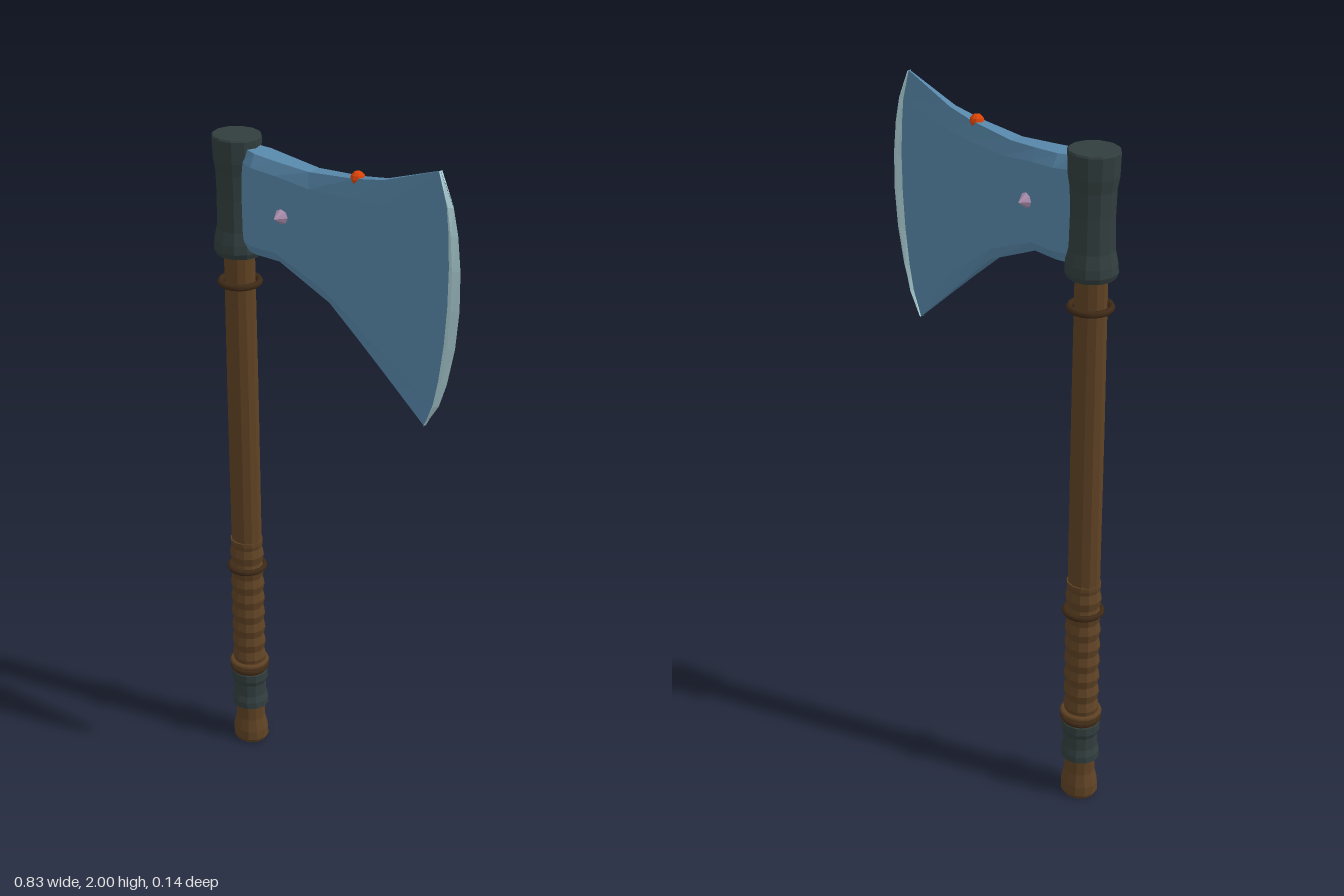
import * as THREE from 'three';

const makeMaterial = (name, color) => {
  const m = new THREE.MeshStandardMaterial({ color });
  m.name = name;
  return m;
};

// Give every triangle its own normal
function facet(geometry) {
  const g = geometry.index ? geometry.toNonIndexed() : geometry;
  g.computeVertexNormals();
  return g;
}

// Point on a blade section: bottom corner, top corner, forward bulge, half thickness
function sectionPoint(s, t, side) {
  const x = s.b[0] + (s.t[0] - s.b[0]) * t + s.bulge * Math.pow(Math.max(0, 4 * t * (1 - t)), 0.7);
  const y = s.b[1] + (s.t[1] - s.b[1]) * t;
  const rim = t === 0 || t === 1 ? 0.65 : 1;
  return [x, y, s.w * rim * side];
}

// Skin both faces, the top and the bottom between successive sections
function loft(sections, closeStart) {
  const ts = [0, 0.1, 0.2, 0.35, 0.5, 0.65, 0.78, 0.88, 1];
  const pos = [];
  const quad = (a, b, c, d) => pos.push(...a, ...b, ...c, ...a, ...c, ...d);
  for (let i = 0; i < sections.length - 1; i++) {
    const p = sections[i], q = sections[i + 1];
    const P = (t, s) => sectionPoint(p, t, s), Q = (t, s) => sectionPoint(q, t, s);
    for (let j = 0; j < ts.length - 1; j++) {
      const a = ts[j], b = ts[j + 1];
      quad(P(a, 1), Q(a, 1), Q(b, 1), P(b, 1));
      quad(Q(a, -1), P(a, -1), P(b, -1), Q(b, -1));
      if (i === 0 && closeStart) quad(P(a, -1), P(a, 1), P(b, 1), P(b, -1));
    }
    quad(P(1, 1), Q(1, 1), Q(1, -1), P(1, -1));
    quad(P(0, -1), Q(0, -1), Q(0, 1), P(0, 1));
  }
  const g = new THREE.BufferGeometry();
  g.setAttribute('position', new THREE.Float32BufferAttribute(pos, 3));
  return facet(g);
}

export function createModel() {
  const group = new THREE.Group();
  group.name = 'axe';
  const wood = makeMaterial('wood', 0x5f4224);
  const darkWood = makeMaterial('dark binding', 0x3f2a16);
  const iron = makeMaterial('dark iron', 0x323e3e);
  const steel = makeMaterial('blue steel', 0x5888ab);
  const edgeSteel = makeMaterial('pale edge', 0xaed2d8);
  const gem = makeMaterial('mauve stud', 0xb092b2);
  const orange = makeMaterial('orange bead', 0xdc4408);

  const add = (name, geometry, material, x = 0, y = 0, z = 0) => {
    const m = new THREE.Mesh(geometry, material);
    m.name = name;
    m.position.set(x, y, z);
    group.add(m);
    return m;
  };
  const shaftX = -0.344;
  // Turned part around the shaft axis, profile as [radius, height] from the bottom up
  const turned = (name, profile, material, depth = 0.96) => {
    const g = new THREE.LatheGeometry(profile.map(([r, y]) => new THREE.Vector2(r, y)), 12);
    g.scale(1, 1, depth);
    return add(name, facet(g), material, shaftX);
  };

  // Shaft and butt
  turned('shaft', [[0.048, 0.7], [0.048, 1.2], [0.046, 1.64]], wood, 0.86);
  turned('butt', [[0, 0], [0.05, 0], [0.056, 0.012], [0.055, 0.04], [0.046, 0.08], [0.046, 0.14]], wood, 0.92);

  // Wavy grip
  const grip = [];
  const waves = 9;
  for (let i = 0; i <= waves * 4; i++) {
    grip.push([0.05 + 0.003 * Math.sin(i * Math.PI / 2), 0.24 + 0.46 * i / (waves * 4)]);
  }
  grip.push([0.05, 0.712], [0.044, 0.712]);
  turned('grip', grip, wood, 0.92);

  // Iron collar above the butt
  turned('collar', [[0.04, 0.13], [0.057, 0.13], [0.057, 0.15], [0.051, 0.17], [0.051, 0.21],
    [0.057, 0.225], [0.057, 0.25], [0.04, 0.25]], iron, 0.94);

  // Binding rings
  for (const [y, r] of [[0.262, 0.05], [0.282, 0.051], [0.618, 0.051], [1.53, 0.055]]) {
    const ring = new THREE.TorusGeometry(r, 0.009, 6, 16);
    ring.rotateX(Math.PI / 2);
    add('ring', ring, y > 0.5 || y < 0.27 ? darkWood : wood, shaftX, y);
  }

  // Head socket
  turned('socket', [[0, 1.615], [0.066, 1.615], [0.072, 1.63], [0.07, 1.655], [0.062, 1.69], [0.06, 1.78],
    [0.062, 1.85], [0.068, 1.885], [0.07, 1.945], [0.067, 1.95], [0, 1.95]], iron);

  // Blade body
  const sec = (xb, yb, xt, yt, w, bulge = 0) => ({ b: [xb, yb], t: [xt, yt], w, bulge });
  const cheek = sec(0.31, 1.295, 0.34, 2.0, 0.003, 0.05);
  add('blade', loft([
    sec(-0.3, 1.64, -0.3, 1.926, 0.034),
    sec(-0.25, 1.64, -0.25, 1.922, 0.05),
    sec(-0.17, 1.64, -0.17, 1.916, 0.044),
    sec(0, 1.565, -0.07, 1.91, 0.033),
    sec(0.1, 1.48, 0.08, 1.924, 0.023),
    sec(0.18, 1.41, 0.17, 1.94, 0.015),
    cheek,
  ], true), steel);

  // Sharpened cutting edge
  add('cuttingEdge', loft([
    cheek,
    sec(0.31, 1.295, 0.34, 2.0, 0.01, 0.066),
    sec(0.31, 1.295, 0.34, 2.0, 0.0005, 0.087),
  ], false), edgeSteel);

  // Pointed studs on both cheeks
  for (const side of [1, -1]) {
    const cone = new THREE.ConeGeometry(0.024, 0.032, 8);
    cone.rotateX(side * Math.PI / 2);
    add('stud', facet(cone), gem, -0.15, 1.775, side * 0.054);
  }

  // Bead on the top edge
  add('bead', facet(new THREE.SphereGeometry(0.02, 8, 6)), orange, 0.077, 1.921, 0);

  return group;
}
